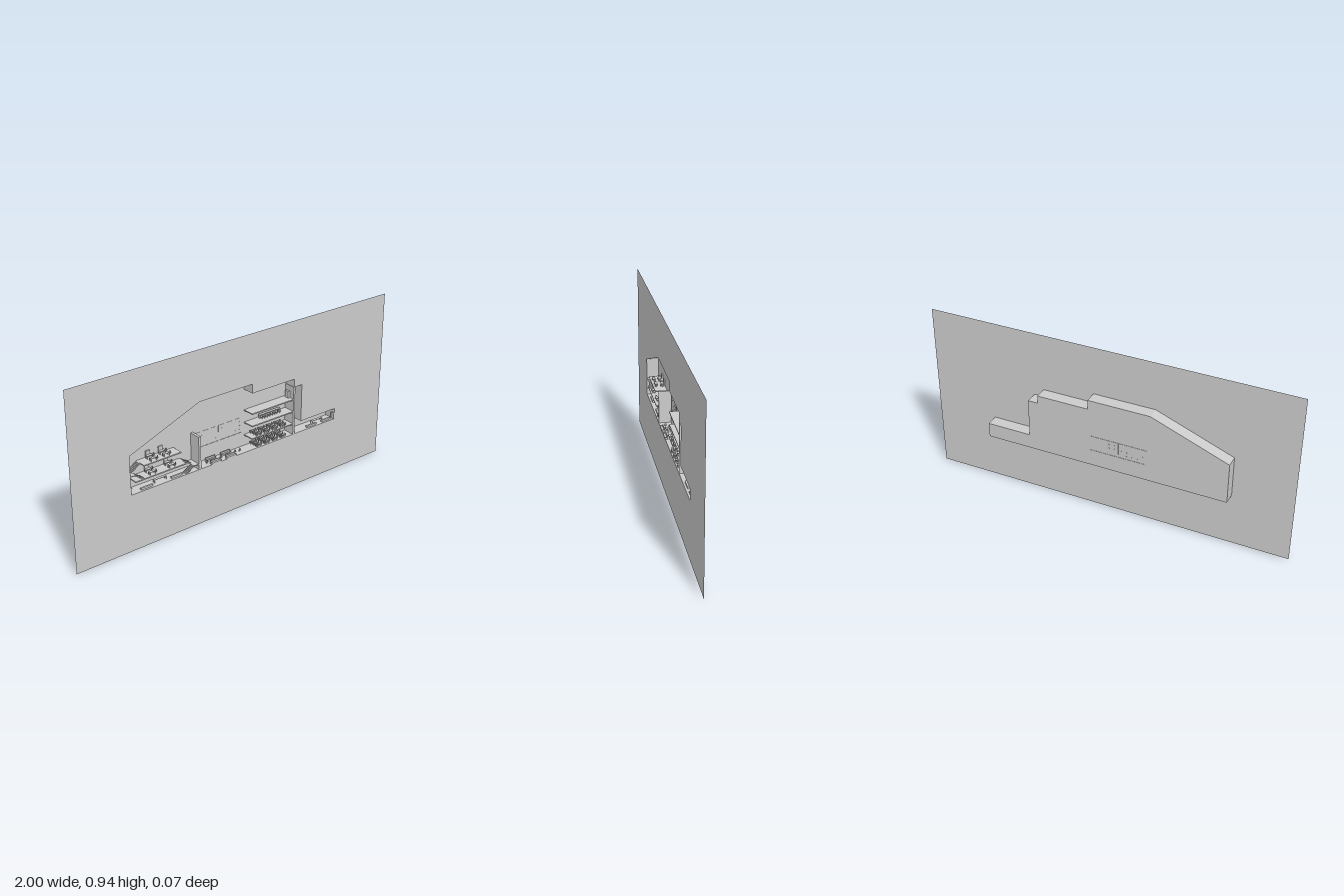
import * as THREE from 'three';

const FRONT = 0.033, BACK = -0.035;
const mat = new THREE.MeshStandardMaterial({ color: 0xcccccc, flatShading: true, side: THREE.DoubleSide });

// inner outline of the building section, and the slightly larger outer skin
const inner = [[-0.675, 0.307], [0.656, 0.307], [0.656, 0.368], [0.411, 0.368], [0.411, 0.577],
  [0.358, 0.577], [0.358, 0.622], [0.075, 0.622], [0.075, 0.673], [-0.26, 0.673], [-0.675, 0.515]];
const outer = [[-0.679, 0.295], [0.659, 0.295], [0.659, 0.375], [0.415, 0.375], [0.415, 0.585],
  [0.36, 0.585], [0.36, 0.628], [0.077, 0.628], [0.077, 0.68], [-0.261, 0.68], [-0.679, 0.521]];
const points = (list) => list.map(([x, y]) => new THREE.Vector2(x, y));
const rect = (x0, y0, x1, y1) => [[x0, y0], [x1, y0], [x1, y1], [x0, y1]];

export function createModel() {
  const model = new THREE.Group();

  const add = (name, geometry, parent = model) => {
    const mesh = new THREE.Mesh(geometry, mat);
    mesh.name = name;
    parent.add(mesh);
    return mesh;
  };
  // box from its minimum and maximum corners
  const box = (name, x0, x1, y0, y1, z0 = BACK + 0.001, z1 = FRONT - 0.001, parent = model) => {
    const mesh = add(name, new THREE.BoxGeometry(x1 - x0, y1 - y0, z1 - z0), parent);
    mesh.position.set((x0 + x1) / 2, (y0 + y1) / 2, (z0 + z1) / 2);
    return mesh;
  };
  const plate = (name, outline, hole, z, depth) => {
    const shape = new THREE.Shape(points(outline));
    if (hole) shape.holes.push(new THREE.Path(points(hole)));
    const geometry = depth
      ? new THREE.ExtrudeGeometry(shape, { depth, bevelEnabled: false })
      : new THREE.ShapeGeometry(shape);
    add(name, geometry).position.z = z;
  };
  const group = (name) => {
    const g = new THREE.Group();
    g.name = name;
    model.add(g);
    return g;
  };

  // cut plane, building skin and rear wall with its window opening
  plate('sectionPlane', rect(-1, 0, 1, 0.944), inner, FRONT, 0);
  plate('buildingShell', outer, inner, BACK, FRONT - BACK - 0.0005);
  plate('rearWall', outer, rect(-0.245, 0.385, 0.065, 0.472), BACK, 0.002);

  // window: two panes, frame and rows of fixings
  const windows = group('rearWindow');
  for (const x0 of [-0.245, -0.09]) {
    const x1 = x0 + 0.155;
    box('pane', x0, x1, 0.385, 0.472, -0.035, -0.034, windows);
    for (const x of [x0, x1 - 0.003]) box('mullion', x, x + 0.003, 0.385, 0.472, -0.0365, -0.032, windows);
    for (const y of [0.385, 0.469]) box('rail', x0, x1, y, y + 0.003, -0.0365, -0.032, windows);
    for (let i = 0; i < 5; i++) for (let j = 0; j < 3; j++) {
      const x = x0 + 0.018 + i * 0.029, y = 0.405 + j * 0.022;
      box('fixing', x, x + 0.003, y, y + 0.003, -0.036, -0.033, windows);
    }
  }

  // floor slabs and dividing walls
  const slabs = [[-0.645, -0.345, 0.369], [-0.595, -0.375, 0.44],
    [0.075, 0.355, 0.369], [0.075, 0.355, 0.44], [0.075, 0.355, 0.509]];
  for (const [x0, x1, y] of slabs) box('floorSlab', x0, x1, y - 0.006, y);
  box('hallWall', -0.268, -0.254, 0.307, 0.485);
  box('shaftWall', 0.355, 0.366, 0.307, 0.577);

  // switchback stairs: two flights of steps and a landing
  const stairs = (xTop, xLanding, y0, y1) => {
    const g = group('switchbackStair');
    const mid = (y0 + y1) / 2, n = 8, dx = (xLanding - xTop) / n, rise = (mid - y0) / n;
    for (let i = 0; i < n; i++) {
      const a = xTop + i * dx, b = a + dx;
      const x0 = Math.min(a, b), x1 = Math.max(a, b);
      box('lowerStep', x0, x1, y0 + i * rise - 0.002, y0 + (i + 1) * rise, 0.001, 0.028, g);
      box('upperStep', x0, x1, y1 - (i + 1) * rise - 0.002, y1 - i * rise, -0.03, -0.001, g);
    }
    const end = xLanding + Math.sign(dx) * 0.025;
    box('landing', Math.min(xLanding, end), Math.max(xLanding, end), mid - 0.004, mid, -0.033, 0.031, g);
  };
  stairs(-0.345, -0.293, 0.307, 0.369);
  stairs(-0.595, -0.648, 0.369, 0.44);

  // end doors with frames
  for (const [x, s] of [[0.656, -1], [-0.675, 1]]) {
    const a = Math.min(x, x + s * 0.004), b = a + 0.004;
    box('endDoor', a, b, 0.307, 0.343, 0.013, 0.031);
    box('doorHead', a - 0.004, b + 0.004, 0.341, 0.344, 0.012, 0.0325);
    box('doorPost', a - 0.004, b + 0.004, 0.307, 0.344, 0.012, 0.014);
  }
  box('roofDoor', 0.341, 0.355, 0.509, 0.547, -0.02, 0.005);

  // small furniture
  const table = (x, y, z, w = 0.022, d = 0.014, h = 0.014) => {
    const g = group('table');
    box('tableTop', x - w / 2, x + w / 2, y + h - 0.002, y + h, z - d / 2, z + d / 2, g);
    for (const sx of [-1, 1]) for (const sz of [-1, 1]) {
      const lx = x + sx * (w / 2 - 0.0015), lz = z + sz * (d / 2 - 0.0015);
      box('tableLeg', lx - 0.001, lx + 0.001, y, y + h - 0.002, lz - 0.001, lz + 0.001, g);
    }
  };
  const chair = (x, y, z, s = 1) => {
    const g = group('chair');
    box('seat', x - 0.004, x + 0.004, y + 0.007, y + 0.009, z - 0.004, z + 0.004, g);
    box('pedestal', x - 0.001, x + 0.001, y, y + 0.007, z - 0.001, z + 0.001, g);
    box('backrest', x + s * 0.004 - 0.001, x + s * 0.004 + 0.001, y + 0.008, y + 0.019, z - 0.004, z + 0.004, g);
  };
  const sofa = (x0, x1, y, z0, z1) => {
    const g = group('sofa');
    box('base', x0, x1, y, y + 0.008, z0, z1, g);
    box('backrest', x0, x1, y + 0.008, y + 0.017, z0, z0 + 0.004, g);
    for (const x of [x0, x1 - 0.003]) box('armrest', x, x + 0.003, y + 0.008, y + 0.012, z0, z1, g);
  };

  // dining rows on the lower right floors, seat row above
  for (const y of [0.307, 0.369]) for (const z of [-0.02, 0.002, 0.023]) {
    for (let x = 0.125; x < 0.34; x += 0.055) {
      table(x, y, z, 0.018, 0.012);
      chair(x - 0.015, y, z, -1);
      chair(x + 0.015, y, z, 1);
    }
  }
  for (let i = 0; i < 8; i++) chair(0.168 + i * 0.017, 0.44, 0, 1);
  box('longCounter', 0.16, 0.3, 0.458, 0.462, -0.024, -0.008);
  for (const x of [0.165, 0.295]) box('counterLeg', x - 0.002, x + 0.002, 0.44, 0.458, -0.022, -0.01);

  // hall lounge
  for (const [x0, x1] of [[-0.19, -0.128], [-0.092, -0.032]]) {
    sofa(x0, x1, 0.309, 0.02, 0.0355);
    sofa(x0, x1, 0.307, -0.022, -0.009);
    table((x0 + x1) / 2, 0.307, 0.006, 0.03, 0.012, 0.01);
  }
  for (const x of [-0.2, -0.11, -0.02, 0.012]) chair(x, 0.307, 0.006);

  // left wing: desks on the upper floors, benches below
  for (const [x, y] of [[-0.54, 0.369], [-0.425, 0.369], [-0.53, 0.44], [-0.455, 0.44]]) {
    for (const z of [-0.016, 0.016]) {
      table(x, y, z, 0.034, 0.016, 0.016);
      chair(x - 0.016, y, z, -1);
      chair(x + 0.022, y, z, 1);
    }
    box('cabinet', x - 0.012, x + 0.012, y, y + 0.035, -0.033, -0.026);
  }
  for (const x of [-0.575, -0.395, 0.5, 0.61]) {
    box('bench', x - 0.034, x + 0.034, 0.307, 0.317, 0.012, 0.022);
    box('shelf', x - 0.03, x + 0.03, 0.338, 0.341, -0.033, -0.027);
  }
  for (const x of [-0.485, 0.555]) table(x, 0.307, 0, 0.07, 0.016, 0.018);

  return model;
}
